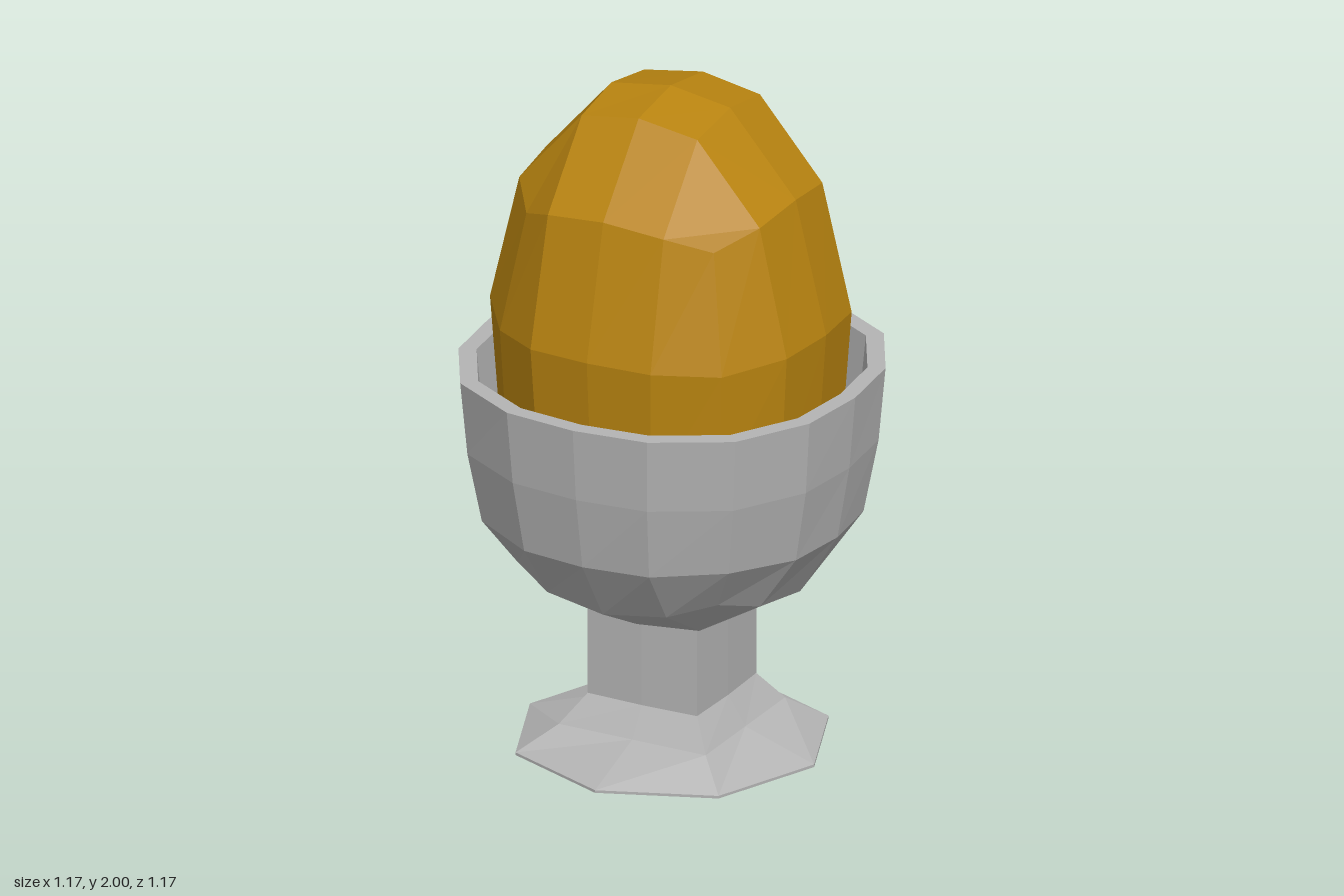
import * as THREE from 'three';

// Grid-ball tables: level -> [larger, smaller, y], ordered from the cap centre outward
const EGG = {
  '2': [[0, 0, 2], [0.19, 0, 1.97], [0.185, 0.185, 1.94], [0.4, 0, 1.73], [0.385, 0.185, 1.71], [0.3, 0.3, 1.66]],
  '1': [[0.497, 0, 1.335], [0.475, 0.192, 1.33], [0.355, 0.355, 1.31]],
  '0': [[0.47, 0, 0.95], [0.45, 0.18, 0.95], [0.34, 0.34, 0.95]],
  '-1': [[0.43, 0, 0.78], [0.41, 0.17, 0.78], [0.31, 0.31, 0.79]],
  '-2': [[0, 0, 0.54], [0.17, 0, 0.56], [0.165, 0.165, 0.58], [0.33, 0, 0.64], [0.31, 0.15, 0.65], [0.25, 0.25, 0.67]],
};
const BOWL = {
  '-1': [[0.53, 0, 0.72], [0.505, 0.2, 0.72], [0.395, 0.395, 0.73]],
  '-2': [[0, 0, 0.415], [0.21, 0, 0.425], [0.19, 0.19, 0.435], [0.41, 0, 0.53], [0.385, 0.19, 0.55], [0.32, 0.32, 0.59]],
};
const RIM_Y = 1.16;

// Shrinks a point to the inside of the cup wall
const inset = ([a, b, y]) => [a * 0.915, b * 0.915, RIM_Y - (RIM_Y - y) * 0.92];

function finish(positions, index) {
  let geo = new THREE.BufferGeometry();
  geo.setAttribute('position', new THREE.Float32BufferAttribute(positions, 3));
  geo.setIndex(index);
  geo = geo.toNonIndexed();
  geo.computeVertexNormals();
  return geo;
}

// Moves the grid points of a 4x4x4 box onto a table; keeps only cells up to the given level
function gridBall(table, top = 2, flip = false) {
  const box = new THREE.BoxGeometry(4, 4, 4, 4, 4, 4);
  const p = box.attributes.position;
  const level = (i) => Math.round(p.getY(i));
  const positions = [];
  for (let i = 0; i < p.count; i++) {
    const x = Math.round(p.getX(i)), z = Math.round(p.getZ(i)), j = level(i);
    if (j > top) { positions.push(0, 0, 0); continue; }
    const big = Math.max(Math.abs(x), Math.abs(z)), small = Math.min(Math.abs(x), Math.abs(z));
    const slot = big * (big + 1) / 2 + small - (Math.abs(j) === 2 ? 0 : 3);
    const [a, b, y] = table[j][slot];
    const xBig = Math.abs(x) >= Math.abs(z);
    positions.push(Math.sign(x) * (xBig ? a : b), y, Math.sign(z) * (xBig ? b : a));
  }
  const index = [];
  const src = box.index.array;
  for (let t = 0; t < src.length; t += 3) {
    const [a, b, c] = [src[t], src[t + 1], src[t + 2]];
    if (Math.max(level(a), level(b), level(c)) > top) continue;
    index.push(a, ...(flip ? [c, b] : [b, c]));
  }
  return finish(positions, index);
}

// Mirrors the points of one eighth of a turn into a full ring
function ring(eighth) {
  const quarter = [...eighth, ...eighth.slice(1, -1).reverse().map(([a, b, y]) => [b, a, y])];
  const out = [];
  for (let q = 0; q < 4; q++) {
    const c = [1, 0, -1, 0][q], s = [0, 1, 0, -1][q];
    for (const [a, b, y] of quarter) out.push([a * c - b * s, y, a * s + b * c]);
  }
  return out;
}

// Skins a stack of rings
function loft(eighths) {
  const rings = eighths.map(ring), n = rings[0].length, index = [];
  for (let r = 0; r < rings.length - 1; r++) {
    for (let i = 0; i < n; i++) {
      const a = r * n + i, b = r * n + (i + 1) % n;
      index.push(a, a + n, b, b, a + n, b + n);
    }
  }
  return finish(rings.flat(2), index);
}

export function createModel() {
  const metal = new THREE.MeshStandardMaterial({ color: 0xb4b4b4, flatShading: true });
  metal.name = 'grey cup';
  const shell = new THREE.MeshStandardMaterial({ color: 0xb98410, flatShading: true });
  shell.name = 'golden brown shell';

  const model = new THREE.Group();
  model.name = 'eggInCup';
  const add = (name, geometry, material) => {
    const mesh = new THREE.Mesh(geometry, material);
    mesh.name = name;
    model.add(mesh);
    return mesh;
  };

  add('egg', gridBall(EGG), shell).position.z = 0.007;

  // Cup: rounded bottom outside and inside, joined by a wall that folds over the rim
  const innerBowl = Object.fromEntries(Object.entries(BOWL).map(([k, v]) => [k, v.map(inset)]));
  add('cupBottom', gridBall(BOWL, -1), metal);
  add('cupInnerBottom', gridBall(innerBowl, -1, true), metal);
  const waist = [[0.568, 0, 0.94], [0.545, 0.215, 0.94], [0.425, 0.425, 0.94]];
  const rim = [[0.587, 0, RIM_Y], [0.562, 0.225, RIM_Y], [0.44, 0.44, RIM_Y]];
  add('cupWall', loft([BOWL['-1'], waist, rim, rim.map(inset), waist.map(inset), innerBowl['-1']]), metal);

  // Square stem and the foot that spreads from it into an octagon
  const square = (mid, corner, y) => [[mid, 0, y], [corner, corner, y]];
  add('stem', loft([square(0.18, 0.175, 0.165), square(0.18, 0.175, 0.44)]), metal);
  add('foot', loft([
    square(0, 0, 0), square(0.455, 0.325, 0), square(0.455, 0.325, 0.008),
    square(0.235, 0.235, 0.08), square(0.18, 0.175, 0.165),
  ]), metal);

  return model;
}
